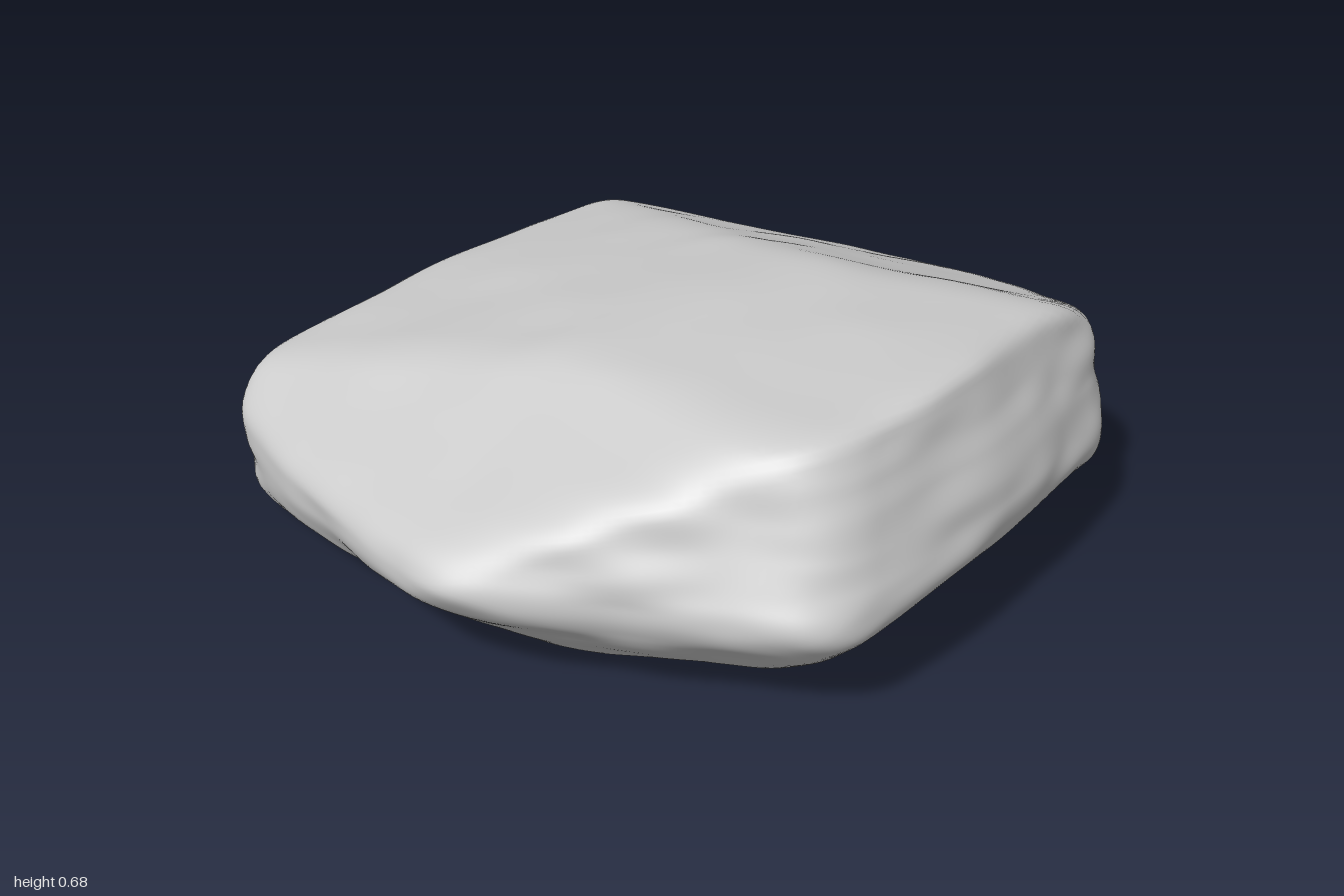
import * as THREE from 'three';
import { mergeVertices } from 'three/addons/utils/BufferGeometryUtils.js';

// Core point inside the rock from which every surface point is cast outward
const CORE = new THREE.Vector3(0, 0.3, 0);

// Cleavage planes: [normal, point on plane]; their softened intersection is the rock
const PLANES = [
  [[-0.12, 1, 0.5], [0.4, 0.525, 0.7]],         // upper front slope
  [[-0.1, 1, -0.42], [0.45, 0.46, -0.8]],       // upper back slope
  [[-1, 0.8, 0], [-0.92, 0.39, 0]],             // low-side upper edge
  [[-0.8, -1, 0], [-0.89, 0.06, 0]],            // low-side lower edge
  [[-0.22, 0, 1], [-0.45, 0.3, 0.89]],          // front wall, low half
  [[0.49, 0.45, 0.87], [0.52, 0.3, 0.79]],      // front wall, high half
  [[-0.235, 0, -1], [-0.4, 0.3, -0.92]],        // back wall, low half
  [[0.54, 0, -1], [0.45, 0.3, -0.82]],          // back wall, high half
  [[0.12, -1, 0], [0.35, 0.04, 0]],             // underside rising to the high side
  [[0.23, -0.28, 0], [0.81, 0.165, 0]],         // undercuts: high side, front, back
  [[0, -1, 0.8], [0, 0.14, 0.88]],
  [[0, -1, -0.77], [0, 0.165, -0.82]],
  [[0.49, -0.9, 0.87], [0.52, 0.25, 0.79]],     // undercuts below the high corners
  [[0.5, -0.8, -0.87], [0.47, 0.25, -0.83]],
  // pairs leaning to the front and to the back
  ...[1, -1].flatMap((s) => [
    [[-0.23, 1, 0.05 * s], [-0.35, 0.55, 0]],   // top, sloping down to the low side
    [[-0.05, 1, 0.06 * s], [0.5, 0.675, 0]],    // top, high side
    [[-0.03, -1, 0.04 * s], [-0.1, -0.005, 0]], // underside
    [[0.34, 0.13, 0.05 * s], [0.91, 0.5, 0]],   // high-side wall
    [[-1, 0, 0.1 * s], [-0.965, 0.25, 0]],      // low-side wall
    [[-1, 0, s], [-0.86, 0.3, 0.74 * s]],       // low-side vertical corner
  ]),
].map(([n, p]) => {
  const normal = new THREE.Vector3(...n).normalize();
  return { normal, dist: new THREE.Vector3(...p).sub(CORE).dot(normal) };
});

// Smooth value noise on a hashed lattice
function hash(x, y, z) {
  const s = Math.sin(x * 127.1 + y * 311.7 + z * 74.7) * 43758.5453;
  return (s - Math.floor(s)) * 2 - 1;
}
function noise(x, y, z) {
  const [i, j, k] = [x, y, z].map(Math.floor);
  const [u, v, w] = [x - i, y - j, z - k].map((t) => t * t * (3 - 2 * t));
  const mix = THREE.MathUtils.lerp;
  const row = (b, c) => mix(hash(i, b, c), hash(i + 1, b, c), u);
  return mix(mix(row(j, k), row(j + 1, k), v), mix(row(j, k + 1), row(j + 1, k + 1), v), w);
}

// Distance to the nearest plane along a direction, rounded only where planes meet
function castDistance(dir) {
  const blend = 0.09;
  let nearest = 0;
  for (const { normal, dist } of PLANES) {
    const closeness = normal.dot(dir) / dist;
    // blend width follows the value so edges are equally round near and far
    const width = blend * Math.max(nearest, closeness);
    const overlap = Math.max(0, width - Math.abs(nearest - closeness));
    nearest = Math.max(nearest, closeness);
    if (overlap > 0) nearest += overlap * overlap / (4 * width);
  }
  return 1 / nearest;
}

function rockGeometry() {
  let geo = new THREE.IcosahedronGeometry(1, 44);
  geo.deleteAttribute('normal');
  geo.deleteAttribute('uv');
  geo = mergeVertices(geo, 1e-4);
  const pos = geo.attributes.position;
  const p = new THREE.Vector3();
  for (let i = 0; i < pos.count; i++) {
    // flattened directions spread the vertices evenly over the slab
    p.fromBufferAttribute(pos, i);
    p.y *= 0.4;
    p.normalize();
    p.multiplyScalar(castDistance(p));
    // broad lumps plus finer layers stretched along the bedding
    const bump = 0.012 * noise(p.x * 4 + 9, p.y * 6, p.z * 4)
      + 0.01 * noise(p.x * 6, p.y * 15 + 5, p.z * 6);
    p.multiplyScalar(1 + bump).add(CORE);
    pos.setXYZ(i, p.x, p.y, p.z);
  }
  // centre it and stand it on the ground
  geo.computeBoundingBox();
  const mid = geo.boundingBox.getCenter(new THREE.Vector3());
  geo.translate(-mid.x, -geo.boundingBox.min.y, -mid.z);
  geo.computeVertexNormals();
  return geo;
}

export function createModel() {
  const group = new THREE.Group();
  group.name = 'flatRock';
  const rock = new THREE.Mesh(rockGeometry(), new THREE.MeshStandardMaterial({ color: 0xcccccc }));
  rock.name = 'rock';
  group.add(rock);
  return group;
}
